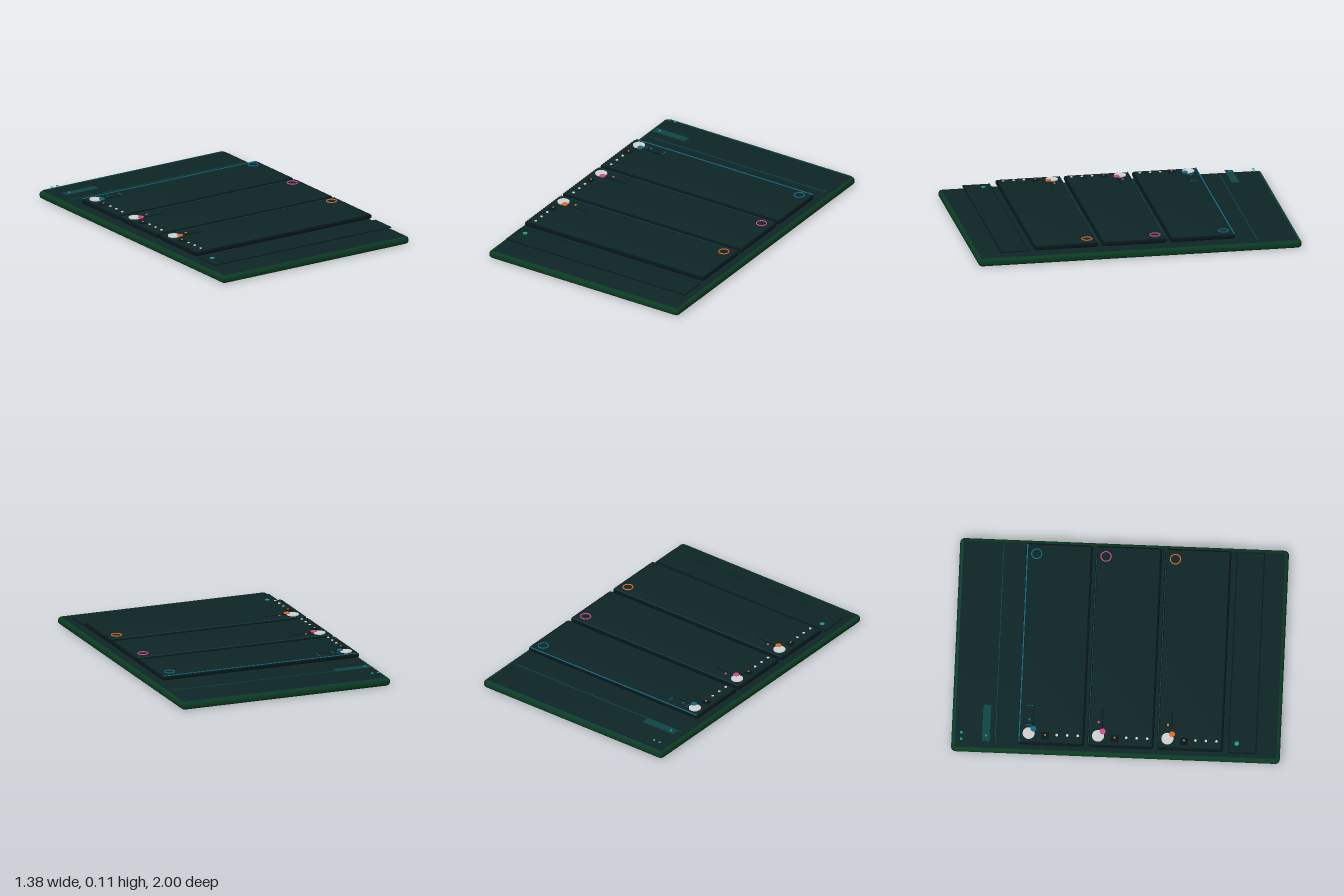
import * as THREE from 'three';
import { toCreasedNormals } from 'three/addons/utils/BufferGeometryUtils.js';

const mat = (name, color) => {
  const m = new THREE.MeshStandardMaterial({ color });
  m.name = name;
  return m;
};

export function createModel() {
  const panel = mat('dark teal', 0x0e2525);
  const rim = mat('dark green', 0x0b3a22);
  const edge = mat('near black', 0x07161a);
  const teal = mat('bright teal', 0x16a085);
  const deepTeal = mat('deep teal', 0x0f4444);
  const blue = mat('blue', 0x0f6a80);
  const pink = mat('pink', 0xd8468f);
  const orange = mat('orange', 0xe0692a);
  const pale = mat('pale grey', 0xd0d0d0);

  const model = new THREE.Group();
  model.name = 'dashboardPanel';

  const add = (parent, name, geometry, material, x, y, z) => {
    const mesh = new THREE.Mesh(geometry, material);
    mesh.name = name;
    mesh.position.set(x, y, z);
    parent.add(mesh);
    return mesh;
  };

  // Horizontal slab with rounded rims, base at y
  const slab = (parent, name, w, d, h, bevel, sideMat, y, z) => {
    const r = 0.008, a = w / 2 - bevel, b = d / 2 - bevel;
    const s = new THREE.Shape();
    s.moveTo(-a + r, -b);
    s.lineTo(a - r, -b); s.quadraticCurveTo(a, -b, a, -b + r);
    s.lineTo(a, b - r); s.quadraticCurveTo(a, b, a - r, b);
    s.lineTo(-a + r, b); s.quadraticCurveTo(-a, b, -a, b - r);
    s.lineTo(-a, -b + r); s.quadraticCurveTo(-a, -b, -a + r, -b);
    const g = new THREE.ExtrudeGeometry(s, {
      depth: h - 2 * bevel, bevelThickness: bevel, bevelSize: bevel, bevelSegments: 5, curveSegments: 4,
    });
    g.rotateX(-Math.PI / 2);
    add(parent, name, toCreasedNormals(g, 0.6), [panel, sideMat], 0, y + bevel, z);
  };

  const disc = (parent, name, r, material, x, y, z, h = 0.004) =>
    add(parent, name, new THREE.CylinderGeometry(r, r, h, 24), material, x, y, z);
  const strip = (parent, name, w, d, material, x, y, z, h = 0.003) =>
    add(parent, name, new THREE.BoxGeometry(w, h, d), material, x, y, z);

  // Base board
  slab(model, 'baseBoard', 1.376, 2, 0.047, 0.021, rim, 0, 0);
  strip(model, 'topEdgeLine', 1.32, 0.006, deepTeal, 0, 0.048, -0.985);

  // Header
  const header = new THREE.Group();
  header.name = 'header';
  model.add(header);
  for (const x of [-0.627, -0.585]) disc(header, 'statusDot', 0.008, teal, x, 0.076, -0.94);
  strip(header, 'headerBadge', 0.235, 0.048, deepTeal, -0.518, 0.074, -0.79);
  disc(header, 'badgeDot', 0.007, teal, -0.6, 0.078, -0.79);
  strip(header, 'headerDivider', 1.28, 0.004, deepTeal, 0, 0.051, -0.733);

  // Three cards, each with its own accent colour
  [blue, pink, orange].forEach((accent, i) => {
    const card = new THREE.Group();
    card.name = 'card' + (i + 1);
    card.position.z = -0.393 + 0.422 * i;
    model.add(card);
    slab(card, 'cardBody', 1.3, 0.402, 0.027, 0.012, edge, 0.072, 0);
    strip(card, 'cardTopLine', 1.28, i ? 0.004 : 0.007, i ? deepTeal : blue, 0, 0.1, -0.195);

    // Avatar and its badge
    disc(card, 'avatar', 0.037, pale, -0.583, 0.103, -0.138, 0.006);
    disc(card, 'avatarBadge', 0.018, accent, -0.555, 0.107, -0.111, 0.006);
    disc(card, 'titleDot', 0.007, accent, -0.495, 0.106, -0.138);
    strip(card, 'titleUnderline', 0.14, 0.005, edge, -0.47, 0.1, -0.114);
    if (i === 0) {
      for (const x of [-0.53, -0.402]) strip(card, 'titleBracket', 0.004, 0.046, blue, x, 0.1, -0.138);
    }

    // Indicator ring
    const ring = new THREE.TorusGeometry(0.031, 0.0035, 8, 32);
    ring.rotateX(Math.PI / 2);
    add(card, 'indicatorRing', ring, accent, 0.578, 0.106, -0.138);

    // Column of markers
    strip(card, 'markerTile', 0.046, 0.046, edge, -0.595, 0.099, -0.037);
    disc(card, 'markerDot', 0.006, orange, -0.592, 0.107, -0.037);
    for (let k = 0; k < 3; k++) disc(card, 'listDot', 0.008, pale, -0.59, 0.107, 0.033 + 0.064 * k);
  });

  // Footer plate with a darker border
  strip(model, 'footerBorder', 1.3, 0.172, edge, 0, 0.073, 0.77);
  strip(model, 'footerPlate', 1.288, 0.16, panel, 0, 0.0745, 0.77);
  disc(model, 'footerDot', 0.014, teal, -0.588, 0.078, 0.735);

  return model;
}
